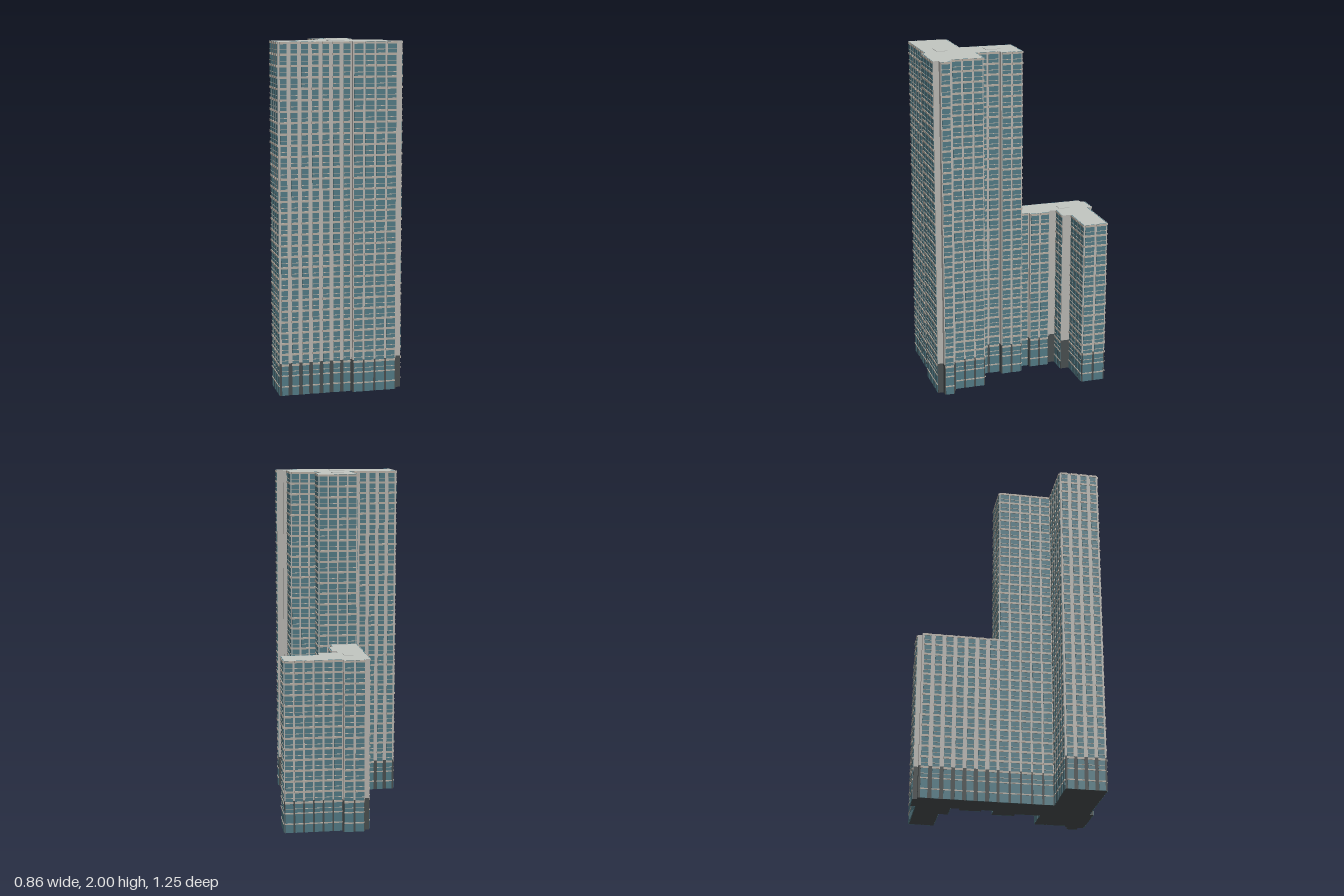
import * as THREE from 'three';
import { mergeGeometries } from 'three/addons/utils/BufferGeometryUtils.js';

const FLOOR = 0.0625, BASE = 3 * FLOOR;

// Footprints in the building's own grid, which is turned 30 degrees
const TOWER = [[-0.175, -0.1], [0.052, -0.1], [0.052, 0.028], [0.018, 0.028], [0.018, 0.172], [0.182, 0.172],
  [0.182, 0.36], [0.206, 0.36], [0.206, 0.377], [0.243, 0.377], [0.243, 0.437], [0.207, 0.437],
  [0.207, 0.47], [-0.048, 0.47], [-0.048, 0.447], [-0.467, 0.447], [-0.467, 0.216], [-0.175, 0.216]];
const WING = [[-0.175, -0.1], [-0.178, -0.548], [-0.15, -0.548], [-0.15, -0.573], [-0.026, -0.573], [-0.026, -0.545],
  [0.309, -0.545], [0.309, -0.4], [0.09, -0.4], [0.09, -0.345], [-0.025, -0.345], [-0.025, -0.294],
  [0.002, -0.294], [0.002, -0.17], [-0.021, -0.17], [-0.021, -0.1]];

const paint = (name, color) => Object.assign(new THREE.MeshStandardMaterial({ color }), { name });

export function createModel() {
  const roof = paint('roof grey', 0xc3c7c2);
  const wall = paint('wall grey', 0xbfbdb8);
  const dark = paint('podium grey', 0x4c5253);
  const glass = paint('teal glass', 0x557f8a);
  const trim = paint('ledge stone', 0xbdb4a9);

  const model = new THREE.Group();
  model.name = 'apartmentTowers';
  const grid = new THREE.Group();
  grid.name = 'turnedBuilding';
  grid.rotation.y = Math.PI / 6;
  model.add(grid);

  const add = (parent, name, geometry, material) => {
    const mesh = new THREE.Mesh(geometry, material);
    mesh.name = name;
    parent.add(mesh);
  };

  // Upright prism over a footprint
  const prism = (points, y0, y1) => {
    const shape = new THREE.Shape(points.map(([s, t]) => new THREE.Vector2(s, -t)));
    return new THREE.ExtrudeGeometry(shape, { depth: y1 - y0, bevelEnabled: false })
      .rotateX(-Math.PI / 2).translate(0, y0, 0);
  };

  function building(name, points, height, hatches, startOf) {
    const group = new THREE.Group();
    group.name = name;
    grid.add(group);
    const top = height - 0.003;
    add(group, 'podium', prism(points, 0, BASE), dark);
    add(group, 'walls', prism(points, BASE, top), [roof, wall]);

    const panes = [], ledges = [];
    points.forEach((a, i) => {
      const b = points[(i + 1) % points.length];
      const ds = b[0] - a[0], dt = b[1] - a[1], length = Math.hypot(ds, dt);
      if (length < 0.056) return; // short returns stay blank
      const bays = Math.max(1, Math.round(length / 0.06));
      const pitch = length / bays;
      const ns = dt / length, nt = -ds / length;
      const fill = length > 0.35 || a[0] < -0.4 ? 0.62 : 0.8; // wide piers on the long fronts
      for (let k = 0; k < bays; k++) {
        const f = (k + 0.5) / bays;
        const s = a[0] + ds * f, t = a[1] + dt * f;
        const start = startOf(i, s);
        if (start >= height) continue;
        const place = (w, h, out, y) => new THREE.BoxGeometry(w, h, out * 2)
          .rotateY(Math.atan2(ns, nt)).translate(s, y, t);
        const w = pitch * fill;
        // Glass strip with a ledge at every floor
        panes.push(place(w, top - start, 0.003, (top + start) / 2));
        for (let y = start + FLOOR; y < height + 0.01; y += FLOOR) {
          const low = y < BASE - 0.01;
          ledges.push(place(w + 0.004, low ? 0.007 : 0.012, 0.006, y - 0.01));
          if (!low) ledges.push(place(w, 0.003, 0.005, y - 0.046));
        }
      }
    });
    add(group, 'windowStrips', mergeGeometries(panes), glass);
    add(group, 'floorLedges', mergeGeometries(ledges), trim);

    // Thin roof hatches
    for (const [s, t, w, d] of hatches) {
      add(group, 'roofHatch', new THREE.BoxGeometry(w, 0.004, d).translate(s, height - 0.002, t), roof);
    }
  }

  // The tower's joint with the wing has windows only above the wing's roof
  building('tallTower', TOWER, 2, [[-0.08, 0.046, 0.064, 0.088], [-0.12, 0.343, 0.09, 0.065]],
    (edge, s) => (edge === 0 && s < -0.02 ? 1 : 0));
  building('lowWing', WING, 1, [[-0.075, -0.405, 0.055, 0.067]],
    (edge) => (edge === WING.length - 1 ? 1 : 0));

  return model;
}
